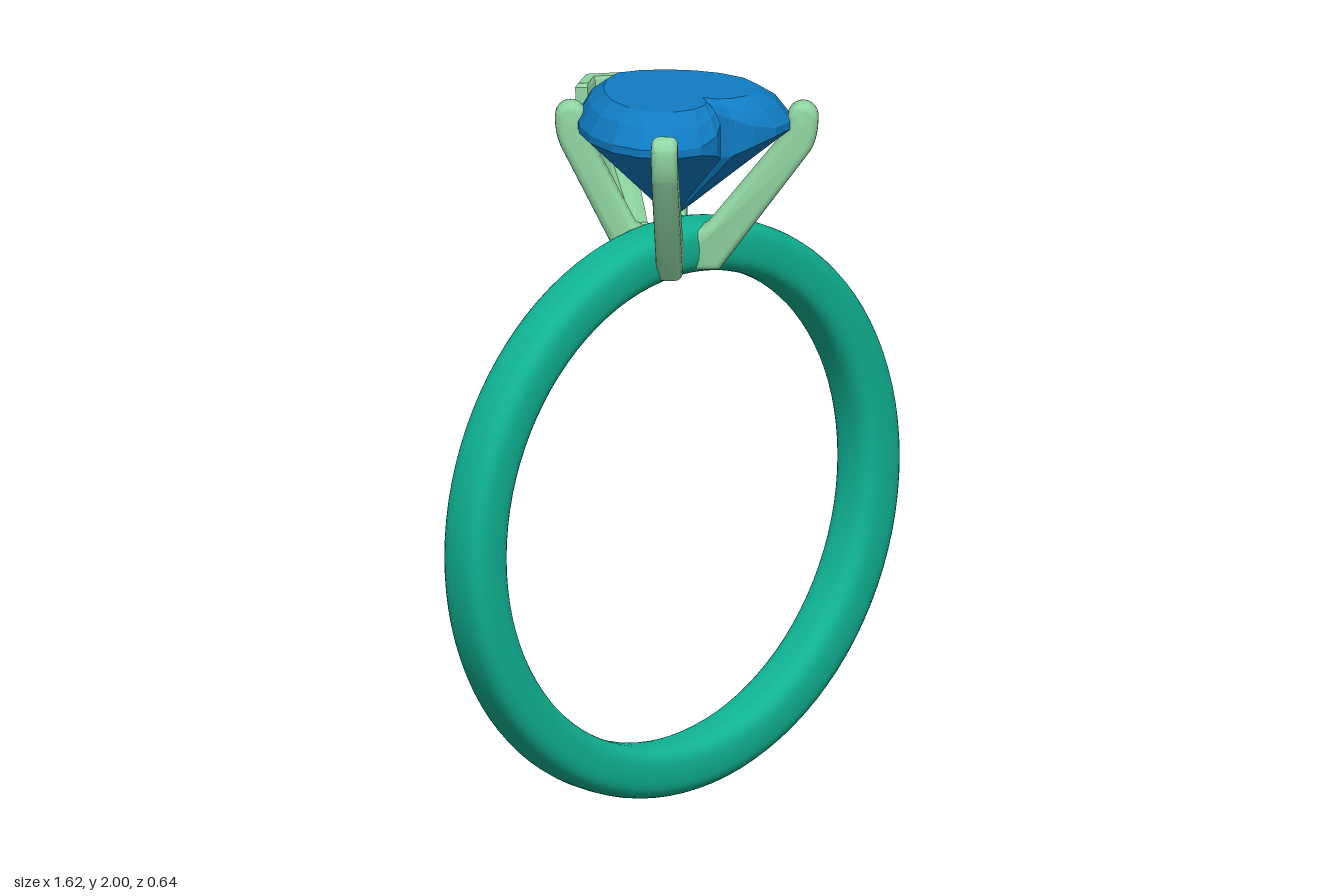
import * as THREE from 'three';
import { toCreasedNormals } from 'three/addons/utils/BufferGeometryUtils.js';

const AXIS_Z = 0.03; // depth of the band's mid plane and of the gem's lower point

// Closed skin over rings of [x, y, z] points (bottom to top, counter-clockwise from above)
function loft(rings, bottom, top) {
  const n = rings[0].length;
  const points = [...rings.flat(), bottom, top];
  const iBottom = points.length - 2, iTop = points.length - 1;
  const last = (rings.length - 1) * n;
  const index = [];
  for (let i = 0; i < n; i++) {
    const j = (i + 1) % n;
    for (let k = 0; k < last; k += n) {
      index.push(k + i, k + j, k + n + j, k + i, k + n + j, k + n + i);
    }
    index.push(iBottom, j, i, iTop, last + i, last + j);
  }
  const geometry = new THREE.BufferGeometry();
  geometry.setAttribute('position', new THREE.Float32BufferAttribute(points.flat(), 3));
  geometry.setIndex(index);
  geometry.computeVertexNormals();
  return geometry;
}

// Band: rounded-square section swept round the finger
function bandGeometry() {
  const profile = [];
  const squash = v => Math.sign(v) * Math.abs(v) ** 0.65;
  for (let i = 0; i <= 32; i++) {
    const t = (i / 32) * Math.PI * 2;
    profile.push(new THREE.Vector2(0.738 + 0.073 * squash(Math.cos(t)), 0.078 * squash(Math.sin(t))));
  }
  return new THREE.LatheGeometry(profile, 96).rotateX(Math.PI / 2).translate(0, 0.811, AXIS_Z);
}

// Heart-cut gem: scaled heart outlines from lower point to table
function gemGeometry() {
  const half = [
    [0, 0.2], [0.025, 0.25], [0.07, 0.284], [0.14, 0.296], [0.22, 0.272], [0.28, 0.2], [0.3, 0.11],
    [0.28, 0], [0.235, -0.09], [0.17, -0.17], [0.09, -0.235], [0, -0.27],
  ];
  const heart = [...half, ...half.slice(1, -1).reverse().map(([x, z]) => [-x, z])];
  // flare spreads the girdle up and down towards the cleft
  const ring = (scale, y, flare = 0) => heart.map(([x, z]) => {
    const f = z > 0.19 ? Math.max(0, 1 - Math.abs(x) / 0.16) ** 2 : 0;
    return [x * scale, y + flare * f, AXIS_Z + (z - AXIS_Z) * scale];
  });
  return loft([
    ring(0.5, 1.762, -0.03),
    ring(1, 1.893, -0.06),
    ring(1, 1.915, 0.05),
    ring(0.88, 1.967, 0.02),
    ring(0.72, 2),
  ], [0, 1.63, AXIS_Z], [0, 2, 0]);
}

// Claw: fin in a radial plane with a rounded tip over the gem's edge
function clawGeometry(x, z) {
  const r = Math.hypot(x, z - AXIS_Z);
  const s = new THREE.Shape();
  s.moveTo(0, 1.49);
  s.lineTo(0.13, 1.49);
  s.lineTo(r + 0.022, 1.83);
  s.quadraticCurveTo(r + 0.042, 1.87, r + 0.042, 1.92);
  s.absarc(r, 1.922, 0.042, 0, Math.PI, false);
  s.lineTo(r - 0.04, 1.89);
  s.lineTo(0.1, 1.62);
  s.lineTo(0, 1.56);
  const geometry = new THREE.ExtrudeGeometry(s, {
    depth: 0.03, bevelThickness: 0.021, bevelSize: 0.02, bevelOffset: -0.02, bevelSegments: 4, curveSegments: 10,
  });
  geometry.translate(0, 0, -0.015).rotateY(Math.atan2(AXIS_Z - z, x)).translate(0, 0, AXIS_Z);
  return toCreasedNormals(geometry, 0.7);
}

// Chevron claw guarding the gem's point
function chevronGeometry() {
  const levels = [ // y, z of outer ridge, half width, thickness
    [1.5, -0.15, 0.05, 0.06], [1.87, -0.313, 0.088, 0.045], [1.96, -0.32, 0.09, 0.043], [1.97, -0.312, 0.08, 0.03],
  ];
  const rings = levels.map(([y, z, w, t]) => {
    const arm = z + 0.65 * w;
    return [
      [0, y, z + t], [w * 0.75, y, arm + t * 0.6], [w, y, arm],
      [0, y, z], [-w, y, arm], [-w * 0.75, y, arm + t * 0.6],
    ];
  });
  return loft(rings, [0, 1.5, -0.12], [0, 1.97, -0.297]);
}

export function createModel() {
  const model = new THREE.Group();
  const bandColor = new THREE.MeshStandardMaterial({ color: 0x0fb393 });
  const gemColor = new THREE.MeshStandardMaterial({ color: 0x0f7dc4, flatShading: true });
  const clawColor = new THREE.MeshStandardMaterial({ color: 0x90d6a2 });
  const chevronColor = new THREE.MeshStandardMaterial({ color: 0x90d6a2, flatShading: true });

  const add = (name, geometry, material, parent = model) => {
    const mesh = new THREE.Mesh(geometry, material);
    mesh.name = name;
    parent.add(mesh);
  };

  add('band', bandGeometry(), bandColor);
  add('heartGem', gemGeometry(), gemColor);

  const setting = new THREE.Group();
  setting.name = 'setting';
  for (const [side, sign] of [['left', 1], ['right', -1]]) {
    add(`${side}FrontClaw`, clawGeometry(sign * 0.26, 0.277), clawColor, setting);
    add(`${side}BackClaw`, clawGeometry(sign * 0.198, -0.165), clawColor, setting);
  }
  add('chevronClaw', chevronGeometry(), chevronColor, setting);
  // Foot joining the chevron claw to the other claws
  add('chevronFoot', new THREE.BoxGeometry(0.07, 0.09, 0.15).translate(0, 1.538, -0.045), clawColor, setting);
  model.add(setting);
  return model;
}
